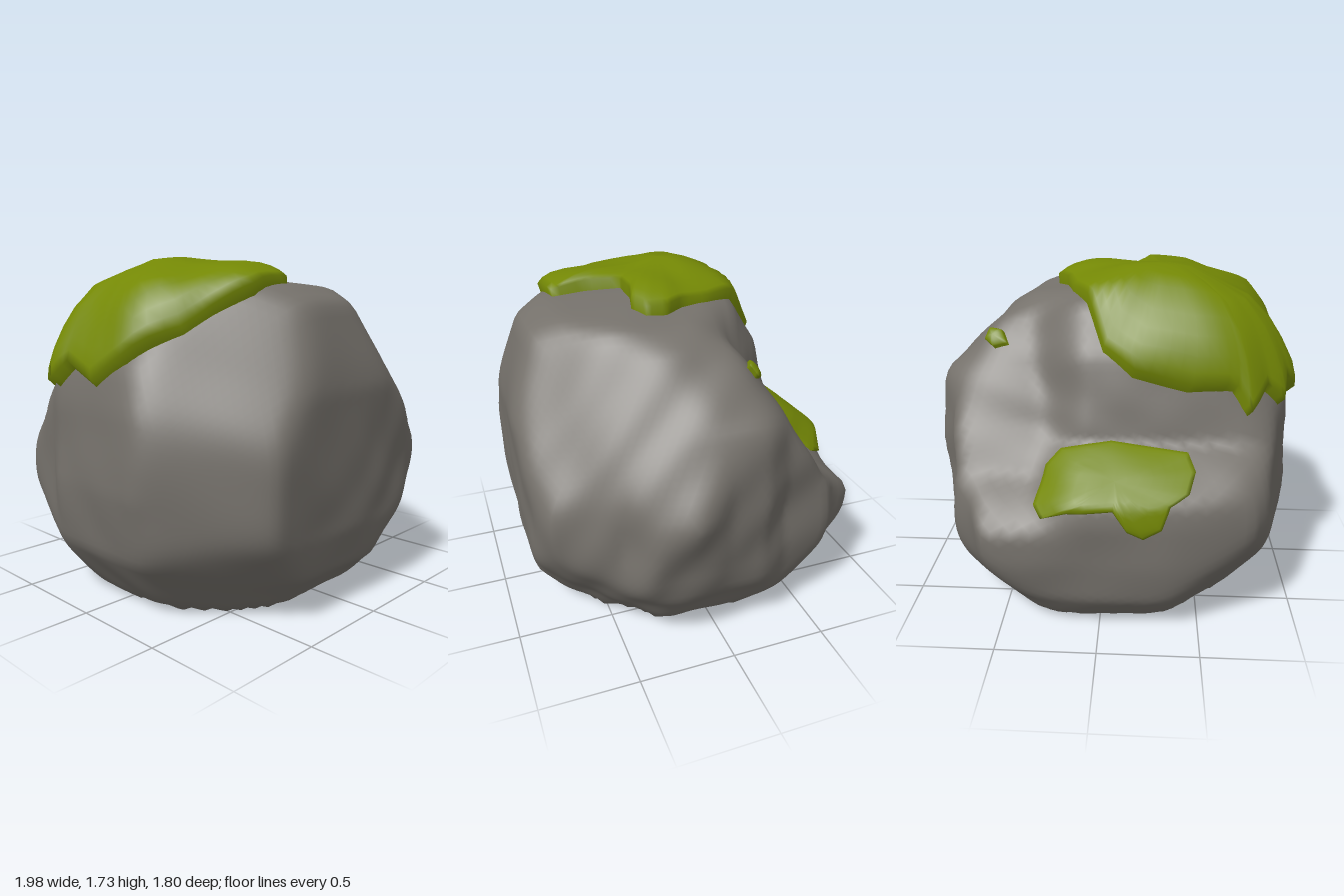
import * as THREE from 'three';
import { mergeVertices } from 'three/addons/utils/BufferGeometryUtils.js';

const CENTRE = new THREE.Vector3(0, 0.6, 0.1);

// Boulder outlines: x/y, z/y and x/z
const FRONT = [[-0.63, 0], [-0.73, 0.03], [-0.93, 0.3], [-1, 0.63], [-0.96, 1.0], [-0.9, 1.2], [-0.79, 1.4],
  [-0.68, 1.52], [-0.4, 1.62], [-0.1, 1.64], [0.1, 1.61], [0.38, 1.55], [0.53, 1.47], [0.85, 1.18],
  [0.91, 1.0], [1, 0.8], [0.9, 0.5], [0.85, 0.3], [0.72, 0.12], [0.61, 0]];
const SIDE_LOW = [[-0.89, 0.4], [-0.85, 0.2], [-0.72, 0.03], [-0.6, 0],
  [0.5, 0], [0.66, 0.03], [0.82, 0.2], [0.87, 0.4], [0.9, 1.1], [0.76, 1.5], [0.6, 1.58], [0.2, 1.63]];
// Rear profile with the ledge, and the plain slope further right
const SIDE_LEDGE = [...SIDE_LOW, [-0.1, 1.65], [-0.32, 1.57], [-0.47, 1.33], [-0.53, 1.1], [-0.57, 0.93],
  [-0.71, 0.84], [-0.86, 0.73], [-0.9, 0.62]];
const SIDE_SLOPE = [...SIDE_LOW, [0, 1.58], [-0.15, 1.48], [-0.3, 1.28], [-0.47, 0.98], [-0.62, 0.76],
  [-0.75, 0.67], [-0.88, 0.56]];
const PLAN = [[-0.75, -0.8], [-0.35, -0.88], [-0.1, -0.9], [0.5, -0.9], [0.57, -0.85], [0.63, -0.7],
  [0.73, -0.62], [0.78, -0.35], [0.88, -0.2], [0.9, 0], [1, 0.2], [0.93, 0.38], [0.78, 0.5], [0.63, 0.8],
  [0.48, 0.87], [0.2, 0.9], [-0.57, 0.88], [-1, 0.35], [-0.96, 0], [-0.96, -0.25], [-0.88, -0.4], [-0.82, -0.7]];

// Planes that shave the corners: nx, ny, nz, distance
const CUTS = [[0.45, 0.6, -0.66, 1.24], [-0.66, 0.4, 0.64, 1.27], [0.6, 0.5, 0.62, 1.29], [0.73, 0.51, 0.45, 1.23],
  [-0.55, 0.5, -0.67, 1.29], [0.55, -0.6, 0.55, 0.48], [-0.55, -0.6, 0.55, 0.53], [0.55, -0.6, -0.55, 0.54],
  [-0.55, -0.6, -0.55, 0.55]];

// Distance along the 2D ray (o + t d) to a closed outline
function outlineHit(poly, ox, oy, dx, dy) {
  let best = 100;
  poly.forEach(([ax, ay], i) => {
    const [bx, by] = poly[(i + 1) % poly.length];
    const ex = bx - ax, ey = by - ay;
    const det = dx * ey - dy * ex;
    if (Math.abs(det) < 1e-9) return;
    const t = ((ax - ox) * ey - (ay - oy) * ex) / det;
    const s = ((ax - ox) * dy - (ay - oy) * dx) / det;
    if (t > 0 && s >= -1e-6 && s <= 1 + 1e-6) best = Math.min(best, t);
  });
  return best;
}

// Soft uneven lumps
function lumps(d) {
  const a = Math.sin(6.1 * d.x + 3.3 * d.y + 1) * Math.sin(5.3 * d.z - 4.1 * d.y + 2);
  const b = Math.sin(11.7 * d.x - 7.9 * d.z) * Math.sin(12.3 * d.y + 6.7 * d.z + 1);
  const side = Math.max(0, d.x); // rougher on the +x side
  return 0.006 * a + (0.004 + 0.009 * side) * b;
}

// Boulder radius in a direction: soft minimum of outlines and cuts
function rockRadius(d) {
  const c = CENTRE;
  const ledge = outlineHit(SIDE_LEDGE, c.z, c.y, d.z, d.y);
  const slope = outlineHit(SIDE_SLOPE, c.z, c.y, d.z, d.y);
  const hits = [
    outlineHit(FRONT, c.x, c.y, d.x, d.y),
    THREE.MathUtils.lerp(ledge, slope, THREE.MathUtils.smoothstep(d.x, 0.06, 0.45)),
    outlineHit(PLAN, c.x, c.z, d.x, d.z),
  ];
  for (const [x, y, z, dist] of CUTS) {
    const k = x * d.x + y * d.y + z * d.z;
    if (k > 0.05) hits.push((dist - x * c.x - y * c.y - z * c.z) / k);
  }
  const P = 34;
  const sum = hits.reduce((s, h) => s + Math.pow(h, -P), 0);
  return 1.01 * Math.pow(sum, -1 / P) + lumps(d);
}

function surfacePoint(dir, lift) {
  const p = dir.clone().multiplyScalar(rockRadius(dir) + lift).add(CENTRE);
  if (p.y < 0.02) p.y = 0;
  return p;
}

function makeRock(material) {
  let geo = new THREE.IcosahedronGeometry(1, 26);
  geo.deleteAttribute('uv');
  geo.deleteAttribute('normal');
  geo = mergeVertices(geo, 1e-4);
  const pos = geo.attributes.position;
  const d = new THREE.Vector3();
  for (let i = 0; i < pos.count; i++) {
    d.fromBufferAttribute(pos, i).normalize();
    const p = surfacePoint(d, 0);
    pos.setXYZ(i, p.x, p.y, p.z);
  }
  geo.computeVertexNormals();
  const mesh = new THREE.Mesh(geo, material);
  mesh.name = 'boulder';
  return mesh;
}

// Moss pad: rings from a middle point out to a ragged edge, domed over the boulder
function makeMoss(name, middle, edge, thick, material) {
  const STEPS = 4;
  const RINGS = [0, 0.15, 0.3, 0.45, 0.6, 0.72, 0.83, 0.91, 0.97, 1];
  const mid = new THREE.Vector3(...middle);
  const rim = [];
  edge.forEach((e, i) => {
    const a = new THREE.Vector3(...e), b = new THREE.Vector3(...edge[(i + 1) % edge.length]);
    for (let s = 0; s < STEPS; s++) rim.push(a.clone().lerp(b, s / STEPS));
  });
  const n = rim.length, verts = [], index = [];
  RINGS.forEach((t, k) => {
    const lift = t === 1 ? -0.02 : thick * (0.3 + 0.7 * Math.sqrt(1 - t * t));
    rim.forEach((r, i) => {
      const dir = mid.clone().lerp(r, t).sub(CENTRE).normalize();
      const wave = t < 1 ? 0.1 * thick * Math.sin(9 * dir.x + 13 * dir.z) : 0;
      verts.push(...surfacePoint(dir, lift + wave).toArray());
      if (k === 0) return;
      const j = (i + 1) % n, a = (k - 1) * n, b = k * n;
      if (k > 1) index.push(a + i, a + j, b + i);
      index.push(a + j, b + j, b + i);
    });
  });
  const geo = new THREE.BufferGeometry();
  geo.setAttribute('position', new THREE.Float32BufferAttribute(verts, 3));
  geo.setIndex(index);
  geo.computeVertexNormals();
  const mesh = new THREE.Mesh(geo, material);
  mesh.name = name;
  return mesh;
}

export function createModel() {
  const stone = new THREE.MeshStandardMaterial({ color: 0x75716b });
  stone.name = 'grey stone';
  const moss = new THREE.MeshStandardMaterial({ color: 0x748805, side: THREE.DoubleSide });
  moss.name = 'green moss';

  const group = new THREE.Group();
  group.name = 'mossy boulder';
  group.add(makeRock(stone));

  // Large cap with hanging tips at the back left
  group.add(makeMoss('topMoss', [-0.27, 1.62, -0.03], [
    [-0.9, 1.08, -0.4], [-0.84, 1.2, -0.46], [-0.73, 1.07, -0.55], [-0.66, 1.2, -0.53], [-0.42, 1.18, -0.53],
    [-0.15, 1.25, -0.52], [0, 1.36, -0.47], [0.08, 1.5, -0.3], [0.17, 1.56, -0.15], [0.21, 1.57, 0],
    [0.27, 1.56, 0.1], [0.26, 1.55, 0.2], [0.18, 1.57, 0.25], [0.05, 1.6, 0.22], [-0.12, 1.6, 0.22],
    [-0.17, 1.6, 0.4], [-0.18, 1.58, 0.57], [-0.42, 1.52, 0.58], [-0.58, 1.43, 0.48], [-0.7, 1.35, 0.41],
    [-0.84, 1.19, 0.22], [-0.92, 1.1, 0.05], [-0.92, 1.18, -0.14], [-0.93, 1.08, -0.24], [-0.91, 1.18, -0.32],
  ], 0.1, moss));

  // Pad on the rear ledge: one drooping tip, right end sagging
  group.add(makeMoss('ledgeMoss', [-0.07, 0.81, -0.73], [
    [-0.42, 0.77, -0.78], [-0.34, 0.73, -0.85], [-0.31, 0.62, -0.9], [-0.22, 0.57, -0.9], [-0.14, 0.61, -0.9],
    [-0.07, 0.71, -0.88], [0.15, 0.69, -0.87], [0.28, 0.64, -0.84], [0.32, 0.68, -0.76], [0.27, 0.82, -0.6],
    [0.2, 0.89, -0.56], [-0.05, 0.94, -0.57], [-0.42, 0.9, -0.6], [-0.45, 0.84, -0.68],
  ], 0.04, moss));

  // Small tuft on the upper right slope
  group.add(makeMoss('smallTuft', [0.57, 1.36, -0.24], [
    [0.52, 1.37, -0.29], [0.6, 1.35, -0.29], [0.62, 1.34, -0.23], [0.57, 1.36, -0.18], [0.52, 1.38, -0.22],
  ], 0.035, moss));

  return group;
}
